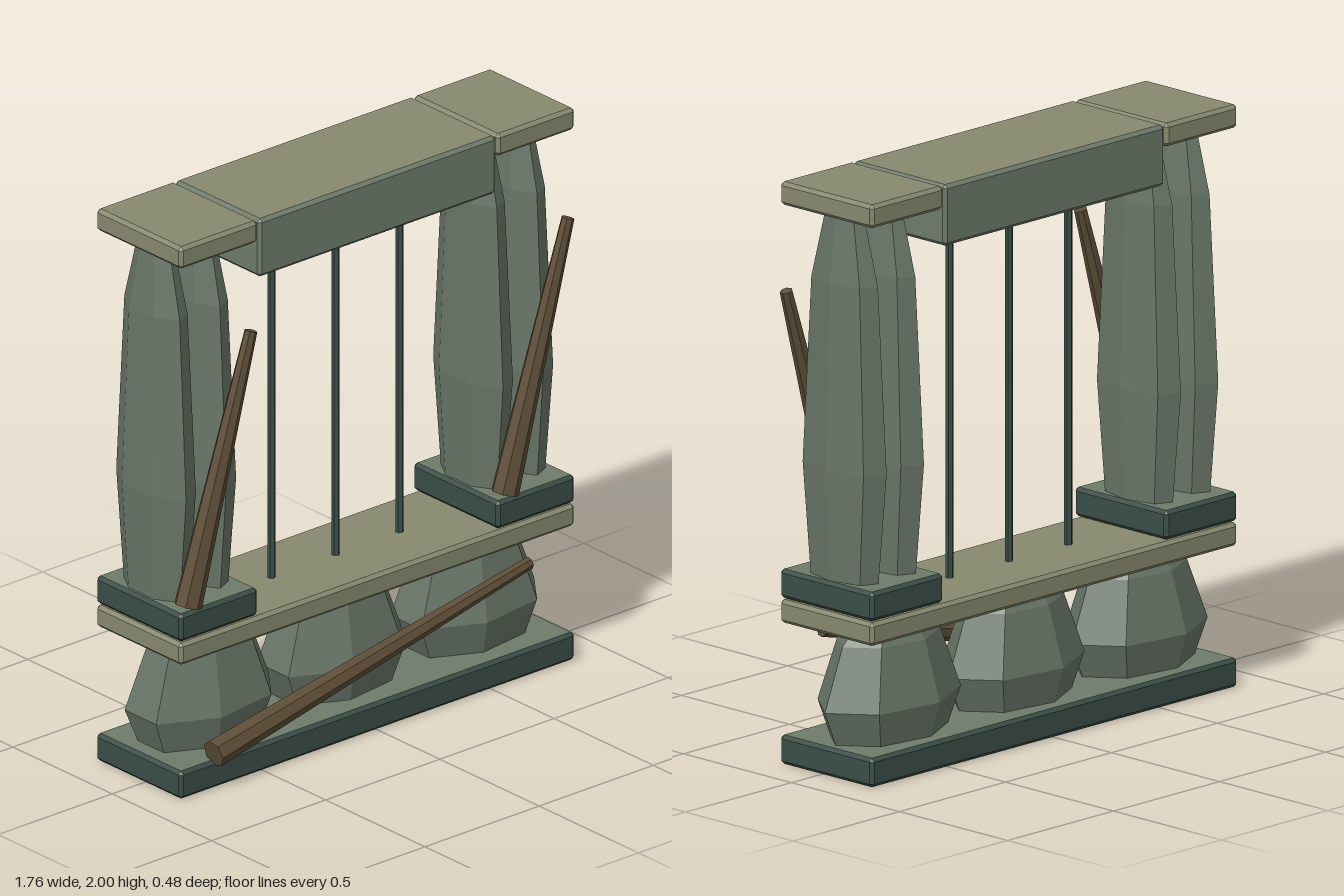
import * as THREE from 'three';
import { ConvexGeometry } from 'three/addons/geometries/ConvexGeometry.js';

const mat = (color) => new THREE.MeshStandardMaterial({ color, flatShading: true });

export function createModel() {
  const model = new THREE.Group();
  const beige = mat(0x87896f), green = mat(0x6e7c6b), dark = mat(0x3a4d46);
  const stone = mat(0x687567), wood = mat(0x5c4c36);
  const Z = -0.025, DEPTH = 0.43;

  const add = (name, geometry, material, x = 0, y = 0, z = 0) => {
    const mesh = new THREE.Mesh(geometry, material);
    mesh.name = name;
    mesh.position.set(x, y, z);
    model.add(mesh);
    return mesh;
  };

  // Chamfered block; its upward face can take a second material
  const block = (name, x0, x1, y0, y1, side, top) => {
    const half = [(x1 - x0) / 2, (y1 - y0) / 2, DEPTH / 2], b = 0.012;
    const points = [];
    for (const sx of [-1, 1]) for (const sy of [-1, 1]) for (const sz of [-1, 1]) {
      for (let axis = 0; axis < 3; axis++) {
        const c = half.map((h, i) => (i === axis ? h : h - b));
        points.push(new THREE.Vector3(c[0] * sx, c[1] * sy, c[2] * sz));
      }
    }
    const geometry = new ConvexGeometry(points);
    const normal = geometry.attributes.normal;
    for (let i = 0; i < normal.count; i += 3) {
      geometry.addGroup(i, 3, normal.getY(i) > 0.9 ? 1 : 0);
    }
    add(name, geometry, [side, top], (x0 + x1) / 2, (y0 + y1) / 2, Z);
  };

  // Seven-sided closed stone, flattened or stretched in z
  const lathe = (name, profile, x, z, depthScale) => {
    const pts = [[0, profile[0][1]], ...profile, [0, profile.at(-1)[1]]];
    const geometry = new THREE.LatheGeometry(
      pts.map(([r, y]) => new THREE.Vector2(r, y)), 7, Math.PI / 2);
    geometry.scale(1, 1, depthScale);
    add(name, geometry, stone, x, 0, z);
  };

  // Tapered pole between two points
  const pole = (name, from, to) => {
    const a = new THREE.Vector3(...from), b = new THREE.Vector3(...to);
    const dir = b.clone().sub(a);
    const mesh = add(name, new THREE.CylinderGeometry(0.022, 0.048, dir.length(), 7), wood);
    mesh.position.copy(a).add(b).multiplyScalar(0.5);
    mesh.quaternion.setFromUnitVectors(new THREE.Vector3(0, 1, 0), dir.normalize());
  };

  // Horizontal slabs and lintel
  block('baseSlab', -0.865, 0.865, 0, 0.1, dark, green);
  block('middleSlab', -0.865, 0.865, 0.485, 0.565, beige, beige);
  block('lintel', -0.52, 0.52, 1.79, 2, green, beige);

  // Boulders between the slabs
  const boulder = [[0.24, 0.09], [0.295, 0.22], [0.212, 0.43], [0.15, 0.49]];
  for (const x of [-0.58, 0, 0.583]) lathe('boulder', boulder, x, -0.035, 0.62);

  // Paired columns with plinth and cap on each side
  const column = [[0.07, 0.66], [0.087, 1.05], [0.069, 1.69], [0.039, 1.93]];
  for (const side of [-1, 1]) {
    const x = 0.694 * side;
    block('plinth', x - 0.171, x + 0.171, 0.57, 0.67, dark, green);
    block('cap', x - 0.171, x + 0.171, 1.92, 2, beige, beige);
    for (const dx of [-0.088, 0.088]) lathe('column', column, x + dx, -0.032, 2.07);
    pole('leaningPole', [x - 0.144, 0.7, 0.195], [x + 0.132, 1.615, 0.195]);
  }

  // Pole lying across the boulders
  pole('crossPole', [-0.725, 0.13, 0.195], [0.658, 0.415, 0.195]);

  // Upright bars
  for (const x of [-0.28, 0, 0.28]) {
    add('bar', new THREE.CylinderGeometry(0.014, 0.014, 1.24, 6), dark, x, 1.178, Z);
  }

  return model;
}
